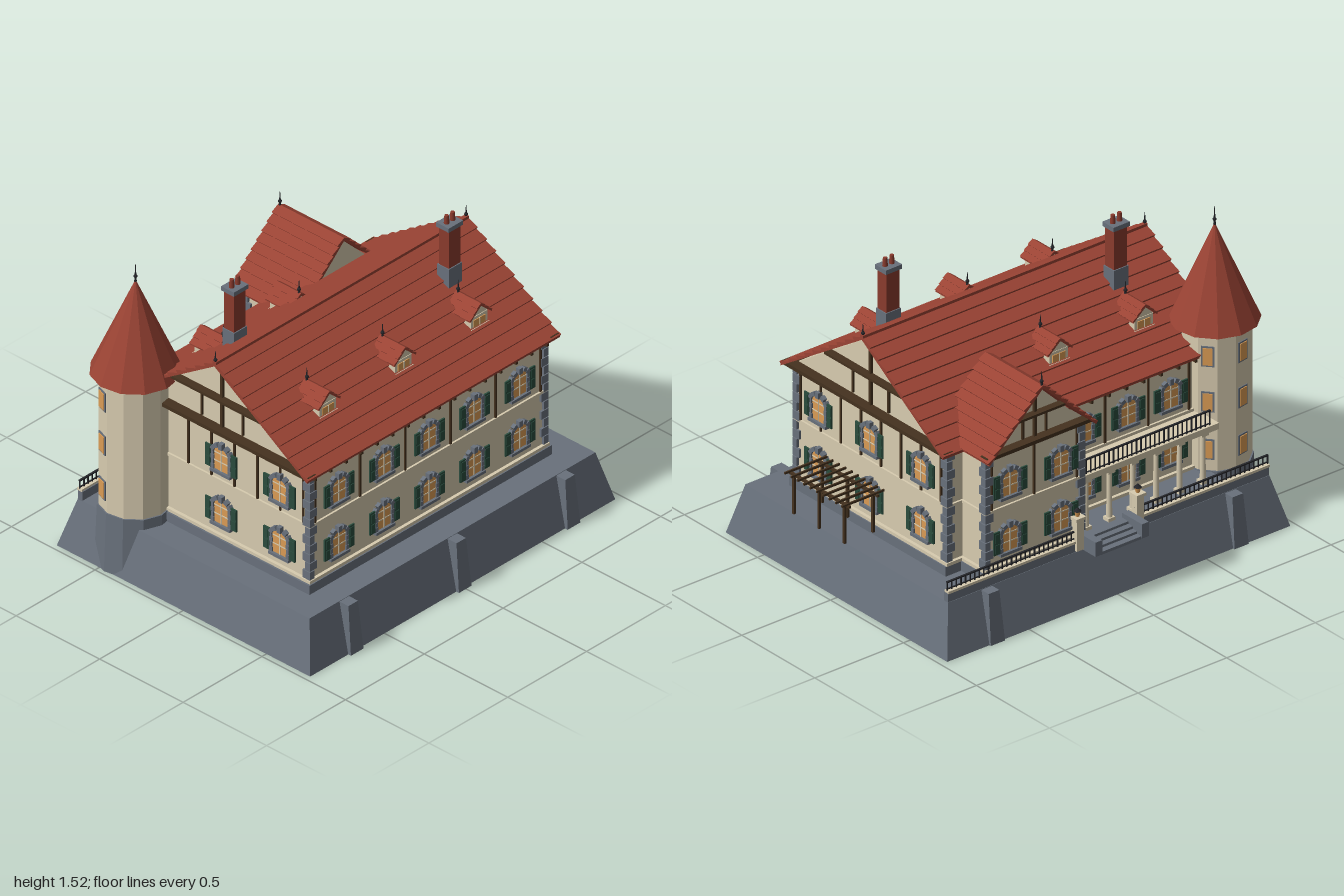
import * as THREE from 'three';

const mat = (name, color) => {
  const m = new THREE.MeshStandardMaterial({ color });
  m.name = name;
  return m;
};

export function createModel() {
  const stone = mat('stone', 0x69717c), cream = mat('cream plaster', 0xd8ccb0), roofRed = mat('roof tile', 0x9a4334),
    brick = mat('brick', 0x8a3b2d), timber = mat('dark timber', 0x45321f), green = mat('shutter green', 0x2a4c3d),
    glass = mat('amber glass', 0xdb9c55), iron = mat('iron', 0x25262a);
  const model = new THREE.Group();
  model.name = 'manorHouse';

  const add = (p, geo, m, name, x = 0, y = 0, z = 0) => {
    const mesh = new THREE.Mesh(geo, m);
    mesh.name = name;
    mesh.position.set(x, y, z);
    p.add(mesh);
    return mesh;
  };
  const group = (p, name, x = 0, y = 0, z = 0, ry = 0) => {
    const g = new THREE.Group();
    g.name = name;
    g.position.set(x, y, z);
    g.rotation.y = ry;
    p.add(g);
    return g;
  };
  // Box given by its extents
  const block = (p, m, name, x0, x1, y0, y1, z0, z1) =>
    add(p, new THREE.BoxGeometry(x1 - x0, y1 - y0, z1 - z0), m, name, (x0 + x1) / 2, (y0 + y1) / 2, (z0 + z1) / 2);
  // Box whose bottom and top rectangles differ: [x0, x1, z0, z1]
  const battered = (p, m, name, bottom, top, h) => {
    const g = new THREE.BoxGeometry(1, 1, 1), a = g.attributes.position;
    for (let i = 0; i < a.count; i++) {
      const r = a.getY(i) > 0 ? top : bottom;
      a.setXYZ(i, r[a.getX(i) > 0 ? 1 : 0], a.getY(i) > 0 ? h : 0, r[a.getZ(i) > 0 ? 3 : 2]);
    }
    g.computeVertexNormals();
    return add(p, g, m, name);
  };
  const extrude = (pts, depth) => {
    const shape = pts.getPoints ? pts : new THREE.Shape(pts.map(([x, y]) => new THREE.Vector2(x, y)));
    return new THREE.ExtrudeGeometry(shape, { depth, bevelEnabled: false, curveSegments: 6 });
  };
  const faceted = (rTop, rBottom, h, n) => {
    const g = new THREE.CylinderGeometry(rTop, rBottom, h, n).toNonIndexed();
    g.computeVertexNormals();
    return g;
  };
  // Gabled roof section with stepped tile courses
  const tiledRoof = (hw, rise, n, t, depth) => {
    const L = Math.hypot(hw, rise), right = [];
    for (let i = 0; i < n; i++) {
      const x = hw * (1 - i / n), y = rise * i / n;
      right.push([x, y], [x + t * rise / L, y + t * hw / L]);
    }
    const left = right.map(([x, y]) => [-x, y]).reverse();
    return extrude([...right, [0, rise], ...left, [-hw, -0.006], [0, rise - 0.014], [hw, -0.006]], depth);
  };
  const finial = (p, x, y, z, h) => {
    add(p, new THREE.CylinderGeometry(0.001, 0.006, h, 6), iron, 'finialSpike', x, y + h / 2, z);
    add(p, new THREE.SphereGeometry(0.009, 8, 6), iron, 'finialBall', x, y + h * 0.3, z);
  };

  // Battered stone base with buttresses
  battered(model, stone, 'base', [-0.972, 0.963, -0.755, 0.762], [-0.909, 0.903, -0.688, 0.70], 0.245);
  for (const x of [-0.69, -0.005, 0.685])
    battered(model, stone, 'frontButtress', [x - 0.04, x + 0.04, 0.6, 0.778], [x - 0.03, x + 0.03, 0.6, 0.754], 0.243);
  for (const x of [-0.69, 0.685])
    battered(model, stone, 'backButtress', [x - 0.04, x + 0.04, -0.765, -0.6], [x - 0.03, x + 0.03, -0.738, -0.6], 0.243);

  // Main house and back wing masses
  const MZ = 0.0325, WX = 0.385;
  block(model, stone, 'podium', -0.775, 0.762, 0.24, 0.292, -0.5, 0.572);
  block(model, stone, 'wingPodium', 0.095, 0.675, 0.24, 0.292, -0.665, -0.45);
  block(model, stone, 'porchPodium', -0.68, 0.1, 0.24, 0.292, -0.65, -0.48);
  block(model, cream, 'mainWalls', -0.75, 0.74, 0.29, 0.86, -0.485, 0.55);
  block(model, cream, 'wingWalls', 0.115, 0.655, 0.29, 0.87, -0.645, -0.4);
  for (const [y, h, o] of [[0.575, 0.014, 0.01], [0.291, 0.016, 0.016]]) {
    block(model, cream, 'stringCourse', -0.75 - o, 0.74 + o, y, y + h, -0.485 - o, 0.55 + o);
    block(model, cream, 'wingStringCourse', 0.115 - o, 0.655 + o, y, y + h, -0.645 - o, -0.4);
  }
  add(model, extrude([[-0.53, 0.85], [0.53, 0.85], [0, 1.203]], 1.49), cream, 'mainGables', -0.75, 0, MZ).rotation.y = Math.PI / 2;
  add(model, extrude([[-0.285, 0.855], [0.285, 0.855], [0, 1.135]], 0.32), cream, 'wingGable', WX, 0, -0.645);
  add(model, tiledRoof(0.555, 0.37, 10, 0.015, 1.604), roofRed, 'mainRoof', -0.807, 0.852, MZ).rotation.y = Math.PI / 2;
  add(model, tiledRoof(0.302, 0.292, 9, 0.013, 0.395), roofRed, 'wingRoof', WX, 0.86, -0.71);
  block(model, roofRed, 'ridgeCap', -0.807, 0.797, 1.215, 1.232, MZ - 0.01, MZ + 0.01);
  finial(model, -0.8, 1.22, MZ, 0.065);
  finial(model, 0.79, 1.22, MZ, 0.065);
  finial(model, WX, 1.15, -0.7, 0.07);

  // Corner quoins
  const quoins = (x, z, sx, sz) => {
    for (let i = 0; i < 12; i++) {
      const a = i % 2 ? 0.045 : 0.03, b = i % 2 ? 0.03 : 0.045, y = 0.308 + i * 0.0455;
      add(model, new THREE.BoxGeometry(a, 0.041, b), stone, 'quoin', x + sx * (0.012 - a / 2), y + 0.021, z + sz * (0.012 - b / 2));
    }
  };
  for (const x of [-0.75, 0.74]) for (const z of [-0.485, 0.55]) quoins(x, z, Math.sign(x), Math.sign(z));
  for (const x of [0.115, 0.655]) quoins(x, -0.645, x < 0.3 ? -1 : 1, -1);

  // Arched, shuttered window; local z points out of the wall
  const archShape = new THREE.Shape();
  archShape.moveTo(-0.045, 0);
  archShape.lineTo(0.045, 0);
  archShape.lineTo(0.045, 0.095);
  archShape.absellipse(0, 0.095, 0.045, 0.03, 0, Math.PI, false);
  const paneGeo = extrude(archShape, 0.008);
  const windowAt = (wall, x, y) => {
    const g = group(wall, 'window', x, y, 0);
    add(g, paneGeo, glass, 'pane', 0, 0, 0.003);
    block(g, cream, 'mullion', -0.003, 0.003, 0, 0.124, 0, 0.014);
    for (const h of [0.045, 0.088]) block(g, cream, 'transom', -0.045, 0.045, h, h + 0.005, 0, 0.013);
    block(g, stone, 'sill', -0.06, 0.06, -0.012, 0.002, 0, 0.024);
    for (const s of [-1, 1]) {
      for (let i = 0; i < 4; i++)
        add(g, new THREE.BoxGeometry(i % 2 ? 0.013 : 0.018, 0.023, 0.018), stone, 'jambBlock', s * 0.05, 0.013 + i * 0.025, 0.009);
      add(g, new THREE.BoxGeometry(0.034, 0.112, 0.008), green, 'shutter', s * 0.077, 0.06, 0.014);
      for (let i = 0; i < 2; i++)
        add(g, new THREE.BoxGeometry(0.024, 0.042, 0.004), green, 'shutterPanel', s * 0.077, 0.034 + i * 0.052, 0.019);
    }
    for (let i = 0; i < 5; i++) {
      const a = Math.PI * (0.1 + 0.2 * i), key = i === 2;
      const v = add(g, new THREE.BoxGeometry(0.022, key ? 0.03 : 0.02, key ? 0.026 : 0.02), stone, 'archStone',
        Math.cos(a) * 0.052, 0.097 + Math.sin(a) * 0.036, 0.01);
      v.rotation.z = (a - Math.PI / 2) * 0.8;
    }
  };
  const facade = (name, x, z, ry, windows, posts, half) => {
    const w = group(model, name, x, 0, z, ry);
    for (const c of windows) for (const y of [0.362, 0.637]) windowAt(w, c, y);
    for (const c of posts) block(w, timber, 'timberPost', c - 0.005, c + 0.005, 0.588, 0.86, 0, 0.008);
    if (half) block(w, timber, 'timberPlate', -half, half, 0.845, 0.858, 0, 0.012);
    return w;
  };
  // Timber frame over a gable wall
  const gableFrame = (w, hw, y0, rise, out) => {
    block(w, timber, 'tieBeam', -hw, hw, y0, y0 + 0.018, 0, out);
    block(w, timber, 'kingPost', -0.007, 0.007, y0, y0 + rise, 0, 0.014);
    const cw = hw * 0.5, cy = y0 + rise * 0.47;
    block(w, timber, 'collarBeam', -cw, cw, cy, cy + 0.012, 0, out * 0.8);
    for (const s of [-1, 1])
      add(w, new THREE.BoxGeometry(0.01, rise * 0.38, 0.01), timber, 'gableStrut', s * hw * 0.22, y0 + rise * 0.27, 0.005);
  };
  const q = Math.PI / 2, cols = [-0.578, -0.2915, -0.005, 0.2815, 0.568];
  const sidePosts = Array.from({ length: 8 }, (_, i) => 0.4825 - i * 0.1375);
  facade('frontFacade', 0, 0.55, 0, cols, [-0.72, -0.435, -0.148, 0.138, 0.425, 0.71], 0.74);
  gableFrame(facade('rightFacade', 0.74, MZ, q, [-0.35, 0, 0.35], sidePosts.map(v => -v)), 0.555, 0.852, 0.345, 0.05);
  gableFrame(facade('leftFacade', -0.75, MZ, -q, [0, 0.35], sidePosts.filter(v => v > -0.3)), 0.555, 0.852, 0.345, 0.05);
  facade('backFacade', 0, -0.485, Math.PI, [0.51, 0.27, 0.02], [0.62, 0.39, 0.145, -0.08]);
  gableFrame(facade('wingFacade', WX, -0.645, Math.PI, [-0.143, 0.143], [-0.24, 0, 0.24]), 0.3, 0.862, 0.27, 0.045);

  // Rafter tails under the eaves
  for (let i = 0; i < 16; i++) {
    const x = -0.74 + i * 0.098;
    block(model, timber, 'rafterTail', x - 0.006, x + 0.006, 0.825, 0.853, 0.55, 0.58);
    if (x < 0.1) block(model, timber, 'rafterTail', x - 0.006, x + 0.006, 0.825, 0.853, -0.515, -0.485);
  }

  // Dormers
  const dormer = (x, ry) => {
    const g = group(model, 'dormer', x, 0, MZ, ry);
    block(g, cream, 'dormerBody', -0.052, 0.052, 0.95, 1.036, 0.24, 0.375);
    add(g, extrude([[-0.058, 1.034], [0.058, 1.034], [0, 1.088]], 0.13), cream, 'dormerGable', 0, 0, 0.242);
    block(g, cream, 'dormerSill', -0.058, 0.058, 0.972, 0.982, 0.3, 0.383);
    block(g, glass, 'dormerPane', -0.036, 0.036, 0.986, 1.022, 0.37, 0.379);
    block(g, cream, 'dormerMullion', -0.002, 0.002, 0.986, 1.022, 0.37, 0.382);
    add(g, tiledRoof(0.068, 0.066, 3, 0.006, 0.15), roofRed, 'dormerRoof', 0, 1.034, 0.237);
    finial(g, 0, 1.095, 0.25, 0.065);
  };
  for (const x of [-0.485, -0.005, 0.475]) dormer(x, 0);
  for (const x of [-0.485, -0.005]) dormer(x, Math.PI);

  // Chimneys
  for (const [x, z] of [[-0.503, -0.132], [0.508, 0.2]]) {
    const g = group(model, 'chimney', x, 0, z);
    block(g, stone, 'chimneyBase', -0.042, 0.042, 1.05, 1.195, -0.035, 0.035);
    block(g, brick, 'chimneyShaft', -0.037, 0.037, 1.195, 1.395, -0.03, 0.03);
    block(g, stone, 'chimneyCap', -0.046, 0.046, 1.39, 1.412, -0.038, 0.038);
    for (const s of [-1, 1]) add(g, new THREE.CylinderGeometry(0.01, 0.013, 0.042, 10), brick, 'chimneyPot', s * 0.019, 1.432, 0);
  }

  // Round tower: one facet turned to each window column
  const tower = group(model, 'tower', -0.797, 0, -0.449, 0);
  const turn = (g, n) => g.rotateY(THREE.MathUtils.degToRad(100 + 180 / n));
  add(tower, turn(faceted(0.172, 0.184, 0.295, 12), 12), stone, 'towerBase', 0, 0.1475, 0);
  add(tower, turn(faceted(0.165, 0.165, 0.69, 12), 12), cream, 'towerWall', 0, 0.635, 0);
  add(tower, turn(faceted(0, 0.205, 0.47, 12), 12), roofRed, 'towerRoof', 0, 1.205, 0);
  finial(tower, 0, 1.43, 0, 0.09);
  for (const deg of [40, 100, 160]) {
    const w = group(tower, 'towerWindows', 0, 0, 0, THREE.MathUtils.degToRad(deg + 90));
    for (const y of [0.4, 0.635, 0.86]) {
      block(w, stone, 'towerWindowFrame', -0.03, 0.03, y - 0.05, y + 0.05, 0.15, 0.164);
      block(w, glass, 'towerPane', -0.022, 0.022, y - 0.042, y + 0.042, 0.15, 0.168);
    }
  }

  // Railing along x with balusters
  const railing = (x0, x1, y, h, z) => {
    const g = group(model, 'railing');
    block(g, iron, 'topRail', x0, x1, y + h - 0.006, y + h, z - 0.005, z + 0.005);
    block(g, iron, 'lowerRail', x0, x1, y + 0.006, y + 0.01, z - 0.003, z + 0.003);
    const n = Math.round((x1 - x0) / 0.026);
    for (let i = 0; i <= n; i++) {
      const x = x0 + 0.003 + (x1 - x0 - 0.006) * i / n;
      block(g, iron, 'baluster', x - 0.0025, x + 0.0025, y, y + h, z - 0.0025, z + 0.0025);
    }
  };
  // Back porch with balcony
  block(model, cream, 'balcony', -0.66, 0.115, 0.545, 0.575, -0.647, -0.485);
  for (let i = 0; i < 6; i++) {
    const x = -0.59 + i * 0.132;
    add(model, new THREE.CylinderGeometry(0.011, 0.014, 0.24, 12), cream, 'porchColumn', x, 0.42, -0.62);
    for (const y of [0.3, 0.538]) add(model, new THREE.BoxGeometry(0.038, 0.018, 0.038), cream, 'columnBlock', x, y, -0.62);
  }
  railing(-0.62, 0.11, 0.575, 0.075, -0.635);

  // Terrace wall with fence, gate posts and steps
  for (const [x0, x1] of [[-0.91, -0.155], [0.145, 0.903]]) {
    block(model, stone, 'terraceWall', x0, x1, 0.235, 0.29, -0.686, -0.66);
    block(model, cream, 'terraceCoping', x0, x1, 0.288, 0.3, -0.692, -0.664);
    railing(x0, x1, 0.3, 0.045, -0.678);
  }
  for (const x of [-0.175, 0.165]) {
    block(model, cream, 'gatePost', x - 0.02, x + 0.02, 0.25, 0.4, -0.698, -0.658);
    block(model, cream, 'gatePostCap', x - 0.027, x + 0.027, 0.4, 0.414, -0.705, -0.651);
    add(model, new THREE.CylinderGeometry(0.015, 0.009, 0.026, 8), glass, 'lantern', x, 0.427, -0.678);
    add(model, new THREE.ConeGeometry(0.019, 0.018, 8), iron, 'lanternCap', x, 0.448, -0.678);
  }
  for (let i = 0; i < 4; i++)
    block(model, stone, 'step', -0.12, 0.11, 0.242, 0.292 - i * 0.012, -0.685 - i * 0.03, -0.64);
  for (const x of [-0.155, 0.107]) block(model, stone, 'stairCheek', x, x + 0.038, 0.245, 0.316, -0.778, -0.64);

  // Side pergola
  const pergola = group(model, 'pergola');
  for (const x of [0.803, 0.963]) {
    for (const z of [0.295, 0.122, -0.052]) block(pergola, timber, 'pergolaPost', x - 0.006, x + 0.006, 0.292, 0.482, z - 0.006, z + 0.006);
    block(pergola, timber, 'pergolaBeam', x - 0.006, x + 0.006, 0.48, 0.492, -0.09, 0.33);
  }
  for (let i = 0; i < 10; i++) {
    const z = -0.075 + i * 0.0435;
    block(pergola, timber, 'pergolaSlat', 0.76, 0.998, 0.49, 0.5, z - 0.004, z + 0.004);
  }
  return model;
}
